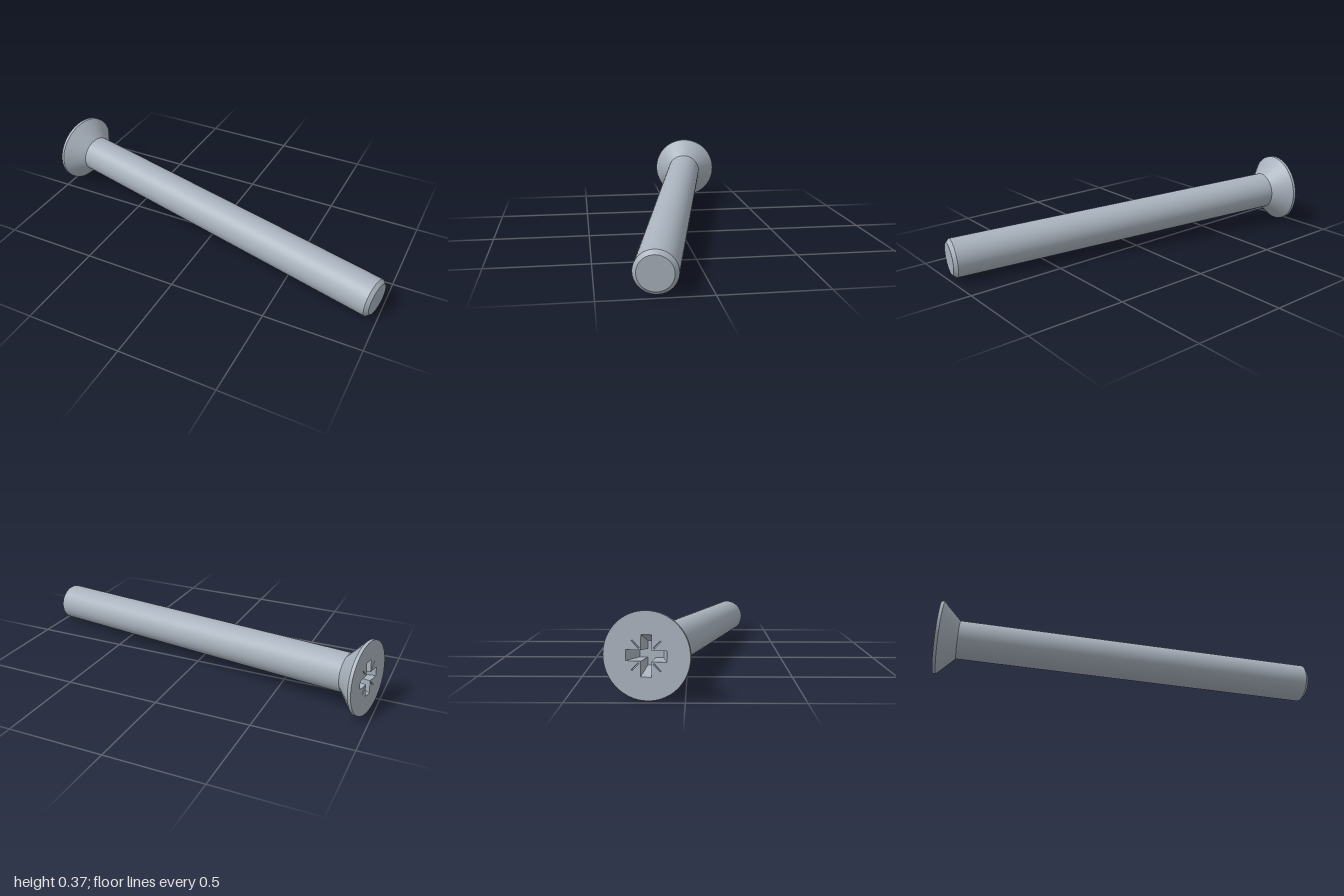
import * as THREE from 'three';
import { mergeGeometries } from 'three/addons/utils/BufferGeometryUtils.js';

const HEAD_R = 0.187, SHAFT_R = 0.099, TIP_R = 0.081;
const RIM = 0.016, HEAD_H = 0.104, CHAMFER = 0.018, SEGMENTS = 64;

// Cross outline (counter-clockwise): wing reach r, half width w
function crossOutline(r, w) {
  const pts = [];
  for (let i = 0; i < 4; i++) {
    const a = i * Math.PI / 2;
    for (const [x, y] of [[r, -w], [r, w], [w, w]]) {
      pts.push(new THREE.Vector2(x, y).rotateAround(new THREE.Vector2(), a));
    }
  }
  return pts;
}

// Thin radial slot outline at a given angle
function slotOutline(r0, r1, w, angle) {
  return [[r0, -w], [r1, -w], [r1, w], [r0, w]].map(([x, y]) =>
    new THREE.Vector2(x, y).rotateAround(new THREE.Vector2(), angle));
}

// Inward-facing walls and floor of a pocket sunk into the head
function pocket(top, bottom, depth) {
  const pos = [];
  const put = (p, z) => pos.push(p.x, p.y, z);
  top.forEach((a, i) => {
    const j = (i + 1) % top.length;
    put(a, 0); put(top[j], 0); put(bottom[i], -depth);
    put(top[j], 0); put(bottom[j], -depth); put(bottom[i], -depth);
  });
  const walls = new THREE.BufferGeometry();
  walls.setAttribute('position', new THREE.Float32BufferAttribute(pos, 3));
  walls.computeVertexNormals();
  const floor = new THREE.ShapeGeometry(new THREE.Shape(bottom)).toNonIndexed();
  floor.deleteAttribute('uv');
  floor.translate(0, 0, -depth);
  return mergeGeometries([walls, floor]).rotateX(-Math.PI / 2);
}

export function createModel() {
  const steel = new THREE.MeshStandardMaterial({ color: 0xa9b2bd });
  steel.name = 'steel';
  const model = new THREE.Group();
  model.name = 'countersunkScrew';

  const add = (name, geometry) => {
    const mesh = new THREE.Mesh(geometry, steel);
    mesh.name = name;
    model.add(mesh);
  };
  // One band of revolution; separate bands keep the edges sharp
  const band = (name, r0, y0, r1, y1) => add(name, new THREE.LatheGeometry(
    [new THREE.Vector2(r0, y0), new THREE.Vector2(r1, y1)], SEGMENTS));

  // Screw axis from the head face to the tip
  const headPos = new THREE.Vector3(-0.96, 0.187, -0.161);
  const tipPos = new THREE.Vector3(0.98, 0.0995, 0.251);
  const length = headPos.distanceTo(tipPos);

  // Turned body, from tip to head
  band('tipChamfer', TIP_R, -length, SHAFT_R, -length + CHAMFER);
  band('shaft', SHAFT_R, -length + CHAMFER, SHAFT_R, -HEAD_H);
  band('headCone', SHAFT_R, -HEAD_H, HEAD_R, -RIM);
  band('headRim', HEAD_R, -RIM, HEAD_R, 0);
  add('tipFace', new THREE.CircleGeometry(TIP_R, SEGMENTS)
    .rotateX(Math.PI / 2).translate(0, -length, 0));

  // Head face with cross recess and four diagonal tick grooves
  const cross = crossOutline(0.088, 0.023);
  const ticks = [0, 1, 2, 3].map(i =>
    slotOutline(0.045, 0.088, 0.003, Math.PI / 4 + i * Math.PI / 2));
  const face = new THREE.Shape().absarc(0, 0, HEAD_R, 0, Math.PI * 2);
  for (const outline of [cross, ...ticks]) face.holes.push(new THREE.Path(outline));
  add('headFace', new THREE.ShapeGeometry(face, SEGMENTS / 2).rotateX(-Math.PI / 2));
  add('crossRecess', pocket(cross, crossOutline(0.052, 0.018), 0.09));
  ticks.forEach(t => add('tickGroove', pocket(t, t, 0.012)));

  // Lay the screw along its axis, cross upright
  const up = headPos.clone().sub(tipPos).normalize();
  const side = new THREE.Vector3(0, 1, 0).cross(up).normalize();
  const front = side.clone().cross(up);
  model.quaternion.setFromRotationMatrix(new THREE.Matrix4().makeBasis(side, up, front));
  model.position.copy(headPos);

  const root = new THREE.Group();
  root.name = 'screw';
  root.add(model);
  return root;
}
